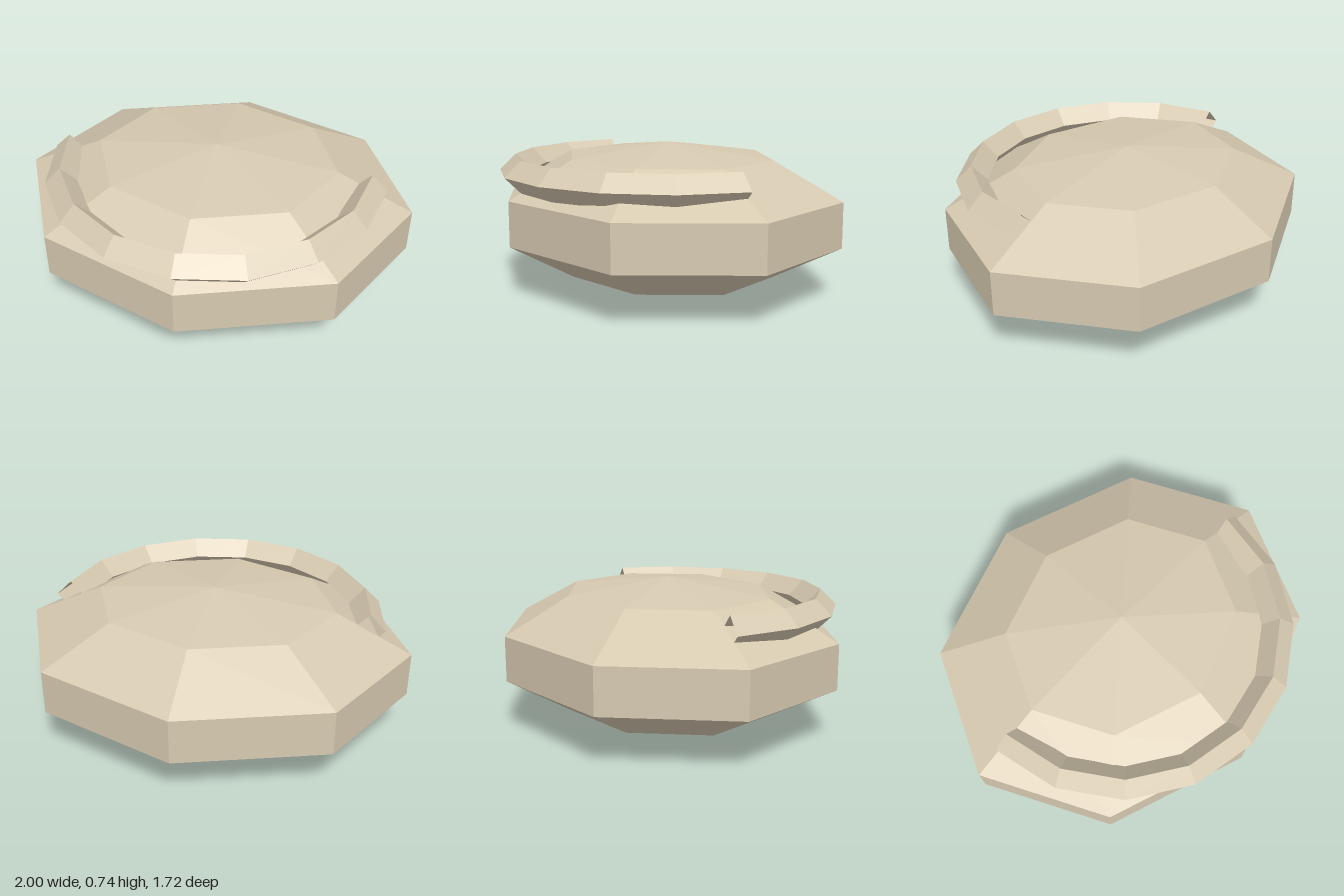
import * as THREE from 'three';

const CENTER_Z = -0.005;
const COLOR = 0xd6c9b0;

export function createModel() {
  const group = new THREE.Group();

  // Flattened eight-sided body with a straight band around the middle
  const bodyGeo = new THREE.SphereGeometry(1, 8, 5);
  bodyGeo.scale(1.0515, 0.3675, 0.894);
  const body = new THREE.Mesh(
    bodyGeo,
    new THREE.MeshStandardMaterial({ color: COLOR, flatShading: true })
  );
  body.name = 'body';
  body.position.set(0, 0.3675, CENTER_Z);
  group.add(body);

  // Open half ring with a diamond cross-section, lying around the front
  const rimGeo = new THREE.TorusGeometry(0.785, 0.08, 4, 8, Math.PI);
  rimGeo.rotateX(Math.PI / 2);
  const rim = new THREE.Mesh(
    rimGeo,
    new THREE.MeshStandardMaterial({ color: COLOR, flatShading: true, side: THREE.DoubleSide })
  );
  rim.name = 'frontRim';
  rim.position.set(0, 0.595, CENTER_Z);
  group.add(rim);

  return group;
}
